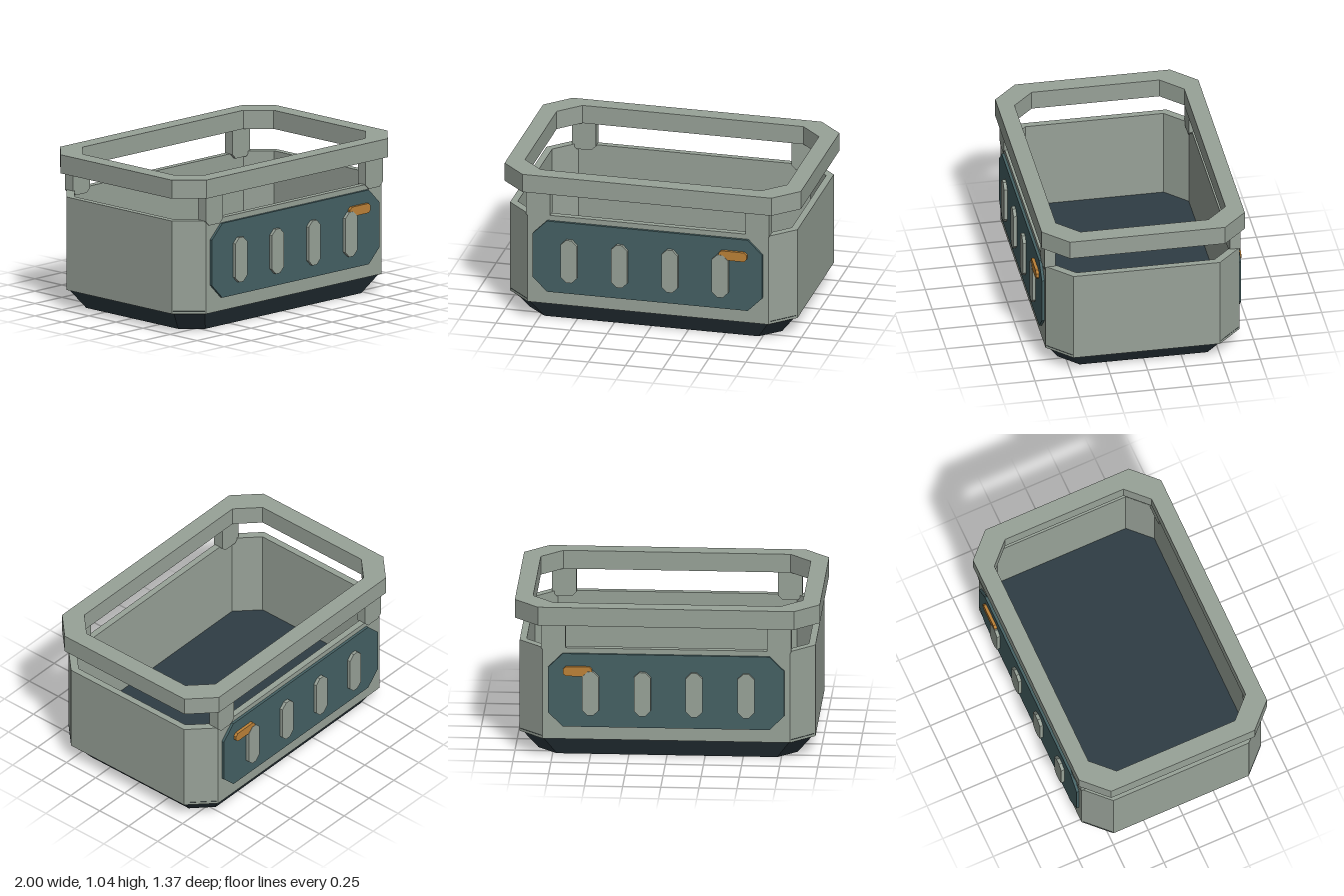
import * as THREE from 'three';

const paint = (name, color) => {
  const m = new THREE.MeshStandardMaterial({ color, flatShading: true });
  m.name = name;
  return m;
};

// Corner-cut rectangle with half sizes a, b and corner cut c
function octagon(a, b, c, Type = THREE.Shape) {
  const pts = [
    [a, -b + c], [a, b - c], [a - c, b], [-a + c, b],
    [-a, b - c], [-a, -b + c], [-a + c, -b], [a - c, -b],
  ];
  return new Type(pts.map(([x, y]) => new THREE.Vector2(x, y)));
}

const extrude = (shape, depth) =>
  new THREE.ExtrudeGeometry(shape, { depth, bevelEnabled: false });

// Horizontal slab from y0 to y1, optionally hollow
function slab(outer, inner, y0, y1) {
  const shape = octagon(...outer);
  if (inner) shape.holes.push(octagon(...inner, THREE.Path));
  return extrude(shape, y1 - y0).rotateX(-Math.PI / 2).translate(0, y0, 0);
}

// Upright plate facing z, between depths z0 and z1, on the given side
function plate(a, b, c, x, y, z0, z1, side) {
  const z = side > 0 ? z0 : -z1;
  return extrude(octagon(a, b, c), z1 - z0).translate(x, y, z);
}

export function createModel() {
  const model = new THREE.Group();
  model.name = 'openCrate';
  const grey = paint('greyShell', 0x98a298);
  const teal = paint('tealPanel', 0x456164);
  const dark = paint('darkBase', 0x2f3d44);
  const orange = paint('orangeMarker', 0xbd8238);

  const add = (name, geometry, material) => {
    const mesh = new THREE.Mesh(geometry, material);
    mesh.name = name;
    model.add(mesh);
  };

  // Base tapers towards the ground; its top is the crate floor
  const base = slab([0.965, 0.64, 0.145], null, 0, 0.15);
  const p = base.attributes.position;
  for (let i = 0; i < p.count; i++) {
    if (p.getY(i) < 0.01) p.setXYZ(i, p.getX(i) * 0.881, 0, p.getZ(i) * 0.859);
  }
  base.computeVertexNormals();
  add('base', base, dark);

  // Hollow walls and the raised rail
  add('walls', slab([0.97, 0.645, 0.158], [0.925, 0.602, 0.142], 0.13, 0.755), grey);
  add('topRail', slab([1, 0.676, 0.16], [0.885, 0.565, 0.14], 0.915, 1.04), grey);

  // Front and back carry the same details
  for (const side of [1, -1]) {
    const end = side > 0 ? 'front' : 'back';
    add(end + 'Panel', plate(0.775, 0.25, 0.097, 0, 0.47, 0.64, 0.663, side), teal);
    for (let i = 0; i < 4; i++) {
      add(end + 'Rib' + (i + 1),
        plate(0.055, 0.15, 0.036, -0.525 + i * 0.34, 0.455, 0.655, 0.685, side), grey);
    }
    add(end + 'Marker', plate(0.095, 0.032, 0.018, 0.58, 0.604, 0.655, 0.683, side), orange);
    for (const x of [-0.74, 0.74]) {
      add(end + (x > 0 ? 'Left' : 'Right') + 'Post',
        plate(0.08, 0.11, 0.03, x, 0.832, 0.58, 0.652, side), grey);
    }
  }
  return model;
}
